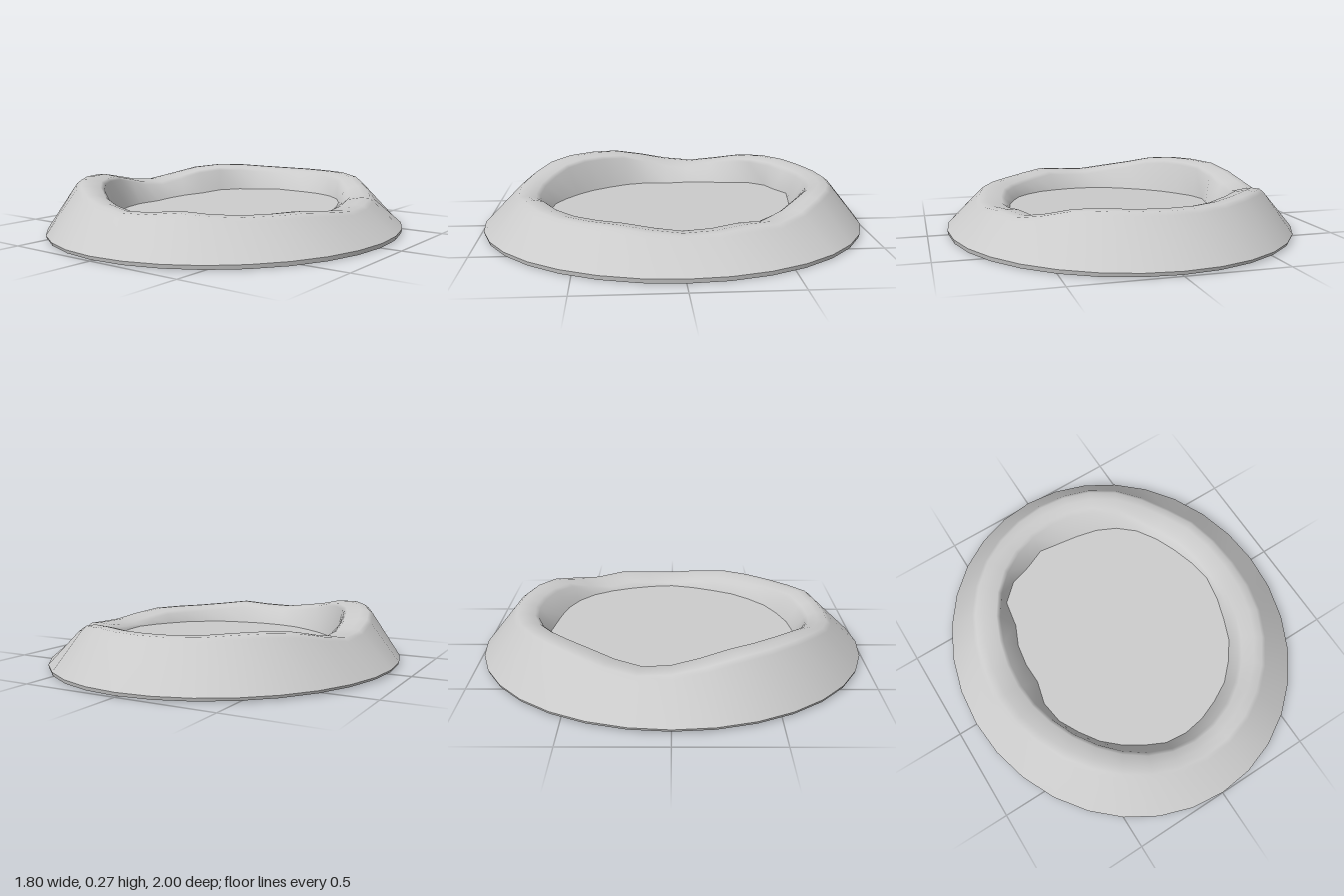
import * as THREE from 'three';

const SIDES = 32;
const RX = 0.9; // the plan is an ellipse, 0.9 by 1
const SLAB_TOP = 0.022;

// Going round from the front (+z) towards +x: crest height and floor edge radius
const CREST = [
  0.19, 0.195, 0.21, 0.197, 0.19, 0.19, 0.19, 0.175, 0.16, 0.166, 0.18, 0.172, 0.2, 0.235, 0.245, 0.243,
  0.242, 0.242, 0.246, 0.255, 0.257, 0.245, 0.215, 0.192, 0.205, 0.237, 0.266, 0.273, 0.273, 0.26, 0.23, 0.208,
];
const FLOOR_EDGE = [
  0.65, 0.645, 0.64, 0.645, 0.64, 0.64, 0.63, 0.635, 0.645, 0.635, 0.63, 0.635, 0.643, 0.64, 0.63, 0.62,
  0.625, 0.655, 0.645, 0.675, 0.675, 0.605, 0.6, 0.585, 0.57, 0.615, 0.63, 0.625, 0.63, 0.63, 0.635, 0.65,
];

// Point on the ellipse at step k and relative radius r
function plan(k, r) {
  const a = (k / SIDES) * Math.PI * 2;
  return [RX * r * Math.sin(a), r * Math.cos(a)];
}

// The floor slopes gently up towards +x and -z
const floorHeight = (x, z) => 0.105 + 0.029 * (x - z);

// Cross-section of the bank at one step, from outer foot to below the floor
function section(k) {
  const c = Math.cos((k / SIDES) * Math.PI * 2);
  const h = CREST[k];
  const inner = 0.675 + 0.04 * c * c;
  const foot = floorHeight(...plan(k, FLOOR_EDGE[k]));
  return [
    [1, SLAB_TOP],
    [0.838, h - 0.02],
    [0.815, h - 0.003],
    [0.77, h],
    [inner + 0.01, h - 0.013],
    [inner - 0.01, Math.max(h - 0.028, foot + 0.008)],
    [FLOOR_EDGE[k], foot],
    [FLOOR_EDGE[k] - 0.01, foot - 0.05],
  ];
}

function bankGeometry() {
  const pos = [];
  const index = [];
  const n = section(0).length;
  for (let k = 0; k < SIDES; k++) {
    for (const [r, y] of section(k)) {
      const [x, z] = plan(k, r);
      pos.push(x, y, z);
    }
    const next = (k + 1) % SIDES;
    for (let j = 0; j < n - 1; j++) {
      const p = k * n + j;
      const q = next * n + j;
      index.push(p, q, p + 1, q, q + 1, p + 1);
    }
  }
  const g = new THREE.BufferGeometry();
  g.setAttribute('position', new THREE.Float32BufferAttribute(pos, 3));
  g.setIndex(index);
  g.computeVertexNormals();
  return g;
}

// Thin slab whose underside dips slightly towards +x
function slabGeometry() {
  const g = new THREE.CylinderGeometry(1, 0.995, SLAB_TOP, SIDES);
  g.scale(RX, 1, 1).translate(0, SLAB_TOP / 2, 0);
  const p = g.attributes.position;
  for (let i = 0; i < p.count; i++) {
    if (p.getY(i) < SLAB_TOP / 2) p.setY(i, 0.005 * (1 - p.getX(i) / RX));
  }
  g.computeVertexNormals();
  return g;
}

// Sloping floor whose edge follows the foot of the inner wall
function floorGeometry() {
  const outline = FLOOR_EDGE.map((r, k) => {
    const [x, z] = plan(k, r);
    return new THREE.Vector2(x, -z);
  });
  const g = new THREE.ShapeGeometry(new THREE.Shape(outline)).rotateX(-Math.PI / 2);
  const p = g.attributes.position;
  for (let i = 0; i < p.count; i++) p.setY(i, floorHeight(p.getX(i), p.getZ(i)));
  g.computeVertexNormals();
  return g;
}

export function createModel() {
  const group = new THREE.Group();
  group.name = 'crater';
  const grey = new THREE.MeshStandardMaterial({ color: 0xcccccc });
  const add = (name, geometry) => {
    const mesh = new THREE.Mesh(geometry, grey);
    mesh.name = name;
    group.add(mesh);
  };

  add('baseSlab', slabGeometry());
  add('rimBank', bankGeometry());
  add('craterFloor', floorGeometry());

  return group;
}
